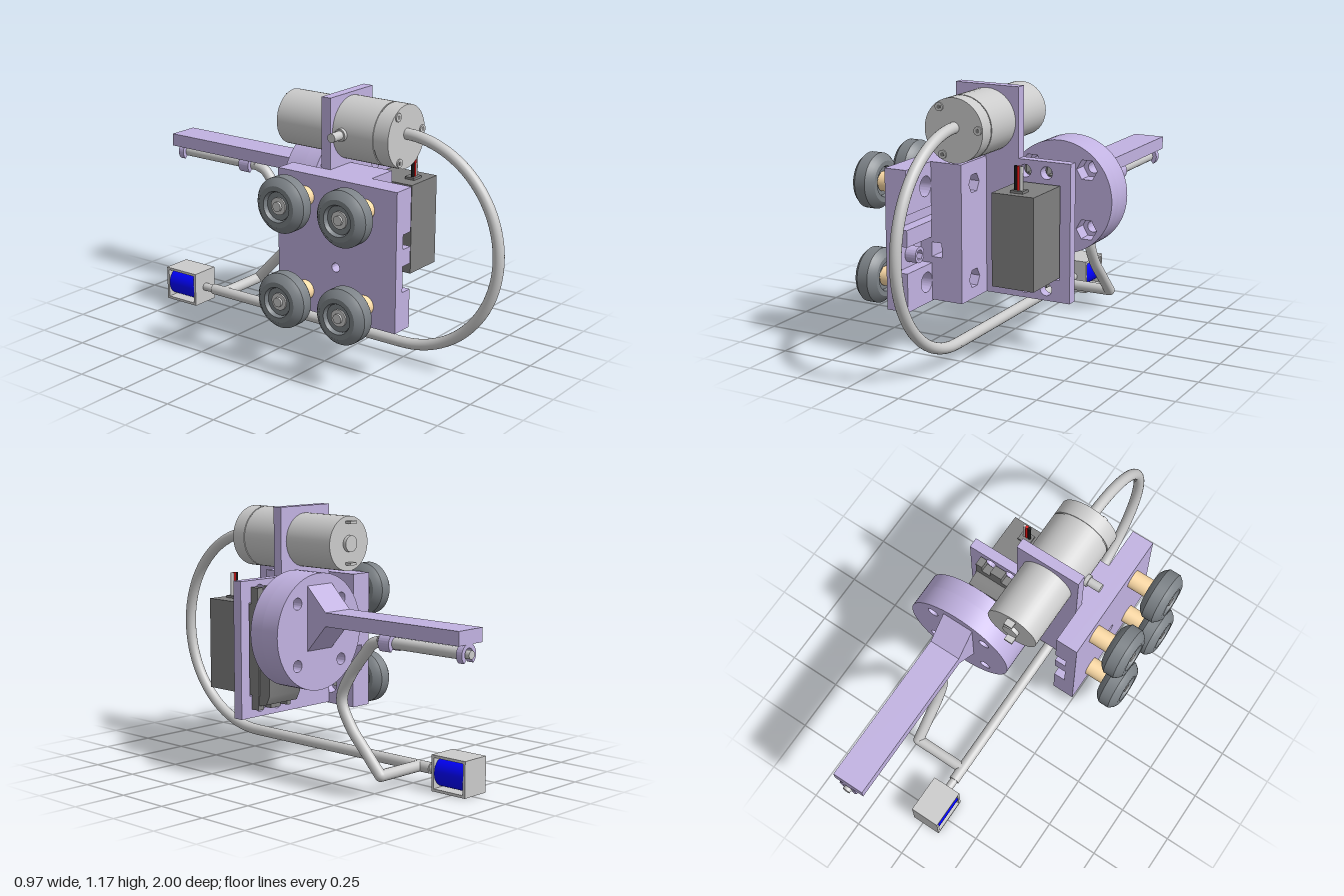
import * as THREE from 'three';
import { toCreasedNormals } from 'three/addons/utils/BufferGeometryUtils.js';

const mat = (color) => new THREE.MeshStandardMaterial({ color, side: THREE.DoubleSide });
const PURPLE = mat(0xc1b2e1), GREY = mat(0xcccccc), DARK = mat(0x808080);
const TYRE = mat(0x7c8287), TAN = mat(0xffdda8), BLUE = mat(0x0000ff);
const BLACK = mat(0x151515), RED = mat(0xe01010);

export function createModel() {
  const root = new THREE.Group();

  const add = (name, geo, material) => {
    const m = new THREE.Mesh(geo, material);
    m.name = name;
    root.add(m);
    return m;
  };
  // Box from its min and max on each axis
  const box = (name, material, x0, x1, y0, y1, z0, z1) => {
    const g = new THREE.BoxGeometry(x1 - x0, y1 - y0, z1 - z0);
    g.translate((x0 + x1) / 2, (y0 + y1) / 2, (z0 + z1) / 2);
    return add(name, g, material);
  };
  // Cylinders lying along z or x
  const cylZ = (name, material, r, x, y, z0, z1, sides = 40) => {
    const g = new THREE.CylinderGeometry(r, r, z1 - z0, sides).rotateX(Math.PI / 2);
    return add(name, g.translate(x, y, (z0 + z1) / 2), material);
  };
  const cylX = (name, material, r, x0, x1, y, z, sides = 28) => {
    const g = new THREE.CylinderGeometry(r, r, x1 - x0, sides).rotateZ(-Math.PI / 2);
    return add(name, g.translate((x0 + x1) / 2, y, z), material);
  };
  const poly = (pts) => new THREE.Shape(pts.map(([x, y]) => new THREE.Vector2(x, y)));
  const rect = (x0, x1, y0, y1) => poly([[x0, y0], [x1, y0], [x1, y1], [x0, y1]]);
  const circle = (x, y, r) => new THREE.Path().absarc(x, y, r, 0, Math.PI * 2, true);
  const hex = (x, y, r) => new THREE.Path([...Array(6).keys()].map((i) =>
    new THREE.Vector2(x + r * Math.cos(-i * Math.PI / 3), y + r * Math.sin(-i * Math.PI / 3))));
  const extrude = (shape, depth) => toCreasedNormals(
    new THREE.ExtrudeGeometry(shape, { depth, bevelEnabled: false, curveSegments: 32 }), 0.5);
  // Shape drawn in (x, y), pushed along z
  const slabZ = (name, shape, z0, z1, holes = [], material = PURPLE) => {
    shape.holes.push(...holes);
    return add(name, extrude(shape, z1 - z0).translate(0, 0, z0), material);
  };
  // Shape drawn in (-z, y), pushed along x
  const slabX = (name, shape, x0, x1, holes = [], material = PURPLE) => {
    shape.holes.push(...holes);
    return add(name, extrude(shape, x1 - x0).rotateY(Math.PI / 2).translate(x0, 0, 0), material);
  };
  const tube = (name, curve, r, segments) =>
    add(name, new THREE.TubeGeometry(curve, segments, r, 20), GREY);
  const V = (x, y, z) => new THREE.Vector3(x, y, z);

  // Side plate: outer layer, then inner layers with a groove, pockets and counterbores
  const wheelY = [0.33, 0.757], wheelZ = [0.17, 0.485];
  const bores = (y, r) => wheelZ.map((z) => circle(-z, y, r));
  slabX('sidePlateOuter', rect(-0.64, -0.02, 0.235, 0.857), -0.28, -0.23,
    [...bores(wheelY[0], 0.022), ...bores(wheelY[1], 0.022), circle(-0.33, 0.465, 0.02)]);
  slabX('sidePlateTop', rect(-0.64, -0.02, 0.662, 0.857), -0.23, -0.175, bores(wheelY[1], 0.045));
  slabX('sidePlateBottom', rect(-0.64, -0.02, 0.235, 0.407), -0.23, -0.175, bores(wheelY[0], 0.045));
  box('sidePlateBand', PURPLE, -0.23, -0.175, 0.523, 0.597, 0.02, 0.64);
  box('sidePlateCore', PURPLE, -0.23, -0.175, 0.407, 0.523, 0.175, 0.44);
  for (const z of [0.535, 0.125]) {
    slabX('pocketBoss', new THREE.Shape().absarc(-z, 0.465, 0.036, 0, Math.PI * 2),
      -0.23, -0.178, [hex(-z, 0.465, 0.024)]);
  }

  // Main plate with motor tab, servo window, edge notch and screw holes
  const plate = poly([[-0.175, 0.24], [0.385, 0.24], [0.385, 0.86], [0.135, 0.86], [0.135, 1.172],
    [-0.175, 1.172], [-0.175, 0.5], [-0.125, 0.5], [-0.125, 0.435], [-0.175, 0.435]]);
  const servoHoles = [0.167, 0.27].flatMap((x) => [0.29, 0.81].map((y) => circle(x, y, 0.028)));
  slabZ('mainPlate', plate, 0.175, 0.222,
    [rect(0.12, 0.335, 0.34, 0.76), ...servoHoles]);

  // Mounting bar in front of the plate, in two layers for the notch and hex pockets
  const barHoles = (r) => wheelY.map((y) => hex(-0.33, y, r));
  for (const [y0, y1] of [[0.24, 0.435], [0.5, 0.857]]) {
    box('barInner', PURPLE, -0.175, -0.125, y0, y1, 0.222, 0.44);
  }
  slabX('barOuter', rect(-0.44, -0.222, 0.24, 0.857), -0.125, -0.025, barHoles(0.045));

  // Wheels with spacers, bearings and bolts
  const tyreProfile = [[0.062, 0.012], [0.068, 0], [0.09, 0], [0.108, 0.012], [0.123, 0.03],
    [0.123, 0.08], [0.108, 0.098], [0.09, 0.11], [0.068, 0.11], [0.062, 0.098], [0.062, 0.012]]
    .map(([r, h]) => new THREE.Vector2(r, h));
  const tyreGeo = toCreasedNormals(new THREE.LatheGeometry(tyreProfile, 40), 0.5).rotateZ(-Math.PI / 2);
  for (const y of wheelY) {
    for (const z of wheelZ) {
      add('wheelTyre', tyreGeo, TYRE).position.set(-0.485, y, z);
      cylX('wheelHub', TYRE, 0.063, -0.465, -0.395, y, z);
      cylX('wheelBearing', GREY, 0.038, -0.472, -0.388, y, z);
      cylX('wheelSpacer', TAN, 0.044, -0.39, -0.28, y, z);
      cylX('wheelBolt', GREY, 0.021, -0.482, -0.215, y, z, 20);
    }
  }

  // Pump motor: gearbox head, can, rear boss, screws and side port
  const mx = -0.02, my = 1.017;
  cylZ('motorHead', GREY, 0.14, mx, my, 0.222, 0.43);
  cylZ('motorSeam', GREY, 0.136, mx, my, 0.43, 0.436);
  cylZ('motorCap', GREY, 0.14, mx, my, 0.436, 0.508);
  cylZ('motorCan', GREY, 0.123, mx, my, -0.095, 0.222);
  cylZ('motorRearBoss', GREY, 0.037, mx, my, -0.112, -0.095);
  for (const y of [0.928, 1.113]) box('motorTerminal', GREY, mx - 0.02, mx + 0.02, y - 0.006, y + 0.006, -0.125, -0.095);
  for (const a of [5, 125, 243]) {
    const t = a * Math.PI / 180, sx = mx + 0.118 * Math.cos(t), sy = my + 0.118 * Math.sin(t);
    cylZ('motorScrew', GREY, 0.019, sx, sy, 0.5, 0.514, 20);
    cylZ('motorScrewSocket', DARK, 0.01, sx, sy, 0.51, 0.515, 6);
  }
  cylX('sidePort', GREY, 0.02, -0.235, -0.15, my, 0.27);
  cylX('sidePortCollar', GREY, 0.028, -0.175, -0.15, my, 0.27);

  // Servo body, slotted ears, gear housing, shaft and wires
  box('servoBody', DARK, 0.125, 0.325, 0.345, 0.755, 0.125, 0.445);
  box('servoFlange', DARK, 0.125, 0.325, 0.315, 0.79, 0.13, 0.172);
  for (const [x0, x1] of [[0.125, 0.147], [0.189, 0.248], [0.292, 0.325]]) {
    box('servoEar', DARK, x0, x1, 0.28, 0.83, 0.13, 0.172);
  }
  slabX('servoGearHousing', poly([[-0.13, 0.3], [-0.085, 0.31], [-0.065, 0.35], [-0.065, 0.74],
    [-0.1, 0.755], [-0.13, 0.755]]), 0.13, 0.32, [], DARK);
  cylZ('servoCollar', DARK, 0.06, 0.225, 0.655, 0.05, 0.07);
  cylZ('servoShaft', DARK, 0.028, 0.225, 0.655, 0, 0.06);
  box('wireGrommet', DARK, 0.195, 0.255, 0.755, 0.766, 0.36, 0.41);
  [BLACK, RED, GREY].forEach((m, i) => {
    const g = new THREE.CylinderGeometry(0.008, 0.008, 0.11, 12);
    add('servoWire', g.translate(0.212 + i * 0.013, 0.815, 0.39), m);
  });

  // Turning disc: hex nut pockets at the front, round holes behind
  const discX = 0.225, discY = 0.655;
  const corners = [[-1, -1], [-1, 1], [1, -1], [1, 1]];
  const discHoles = (fn, r) => corners.map(([i, j]) => fn(discX + i * 0.135, discY + j * 0.135, r));
  const discShape = () => new THREE.Shape().absarc(discX, discY, 0.257, 0, Math.PI * 2);
  slabZ('discFront', discShape(), -0.06, 0.01, discHoles(hex, 0.05));
  slabZ('discBack', discShape(), -0.153, -0.06, discHoles(circle, 0.026));

  // Arm with flared root and two tube clips
  slabX('arm', poly([[0.15, 0.575], [0.26, 0.697], [0.985, 0.697], [0.985, 0.757],
    [0.26, 0.757], [0.15, 0.865]]), 0.15, 0.3);
  for (const [z0, z1] of [[-0.6, -0.54], [-0.985, -0.955]]) {
    const clip = new THREE.Shape();
    clip.absarc(0.235, 0.657, 0.045, -0.9, Math.PI + 0.9, false);
    clip.absarc(0.235, 0.657, 0.026, Math.PI + 0.9, -0.9, true);
    slabZ('tubeClip', clip, z0, z1);
  }

  // Main tube: half loop from the pump, then straight back to the nozzle box
  const tx = -0.018, loop = [];
  for (let i = 0; i <= 24; i++) {
    const a = Math.PI / 2 - i * Math.PI / 24;
    loop.push(V(tx, 0.555 + 0.475 * Math.sin(a), 0.5 + 0.475 * Math.cos(a)));
  }
  tube('loopTube', new THREE.CatmullRomCurve3(loop), 0.025, 64);
  cylZ('straightTube', GREY, 0.025, tx, 0.08, -0.59, 0.5, 20);
  cylZ('tubeTip', GREY, 0.019, tx, 0.08, -0.65, -0.59, 20);

  // Branch tube: across, up in a bend, then along the arm
  const bx = 0.235;
  cylX('crossTube', GREY, 0.025, tx, bx, 0.08, -0.52, 20);
  add('elbow', new THREE.SphereGeometry(0.025, 20, 14).translate(bx, 0.08, -0.52), GREY);
  tube('bendTube', new THREE.CatmullRomCurve3([V(bx, 0.08, -0.52), V(bx, 0.17, -0.435),
    V(bx, 0.27, -0.345), V(bx, 0.38, -0.295), V(bx, 0.49, -0.345), V(bx, 0.59, -0.425),
    V(bx, 0.64, -0.47), V(bx, 0.657, -0.52)]), 0.025, 48);
  cylZ('armTube', GREY, 0.025, bx, 0.657, -0.96, -0.52, 20);
  cylZ('armTubeTip', GREY, 0.018, bx, 0.657, -1, -0.96, 20);

  // Nozzle box: frame open on both sides with a blue core
  slabX('nozzleFrame', rect(0.645, 0.827, 0.002, 0.162), -0.09, 0.05, [rect(0.657, 0.815, 0.014, 0.15)], GREY);
  cylZ('nozzleCore', BLUE, 0.067, -0.02, 0.082, -0.815, -0.657);

  return root;
}
